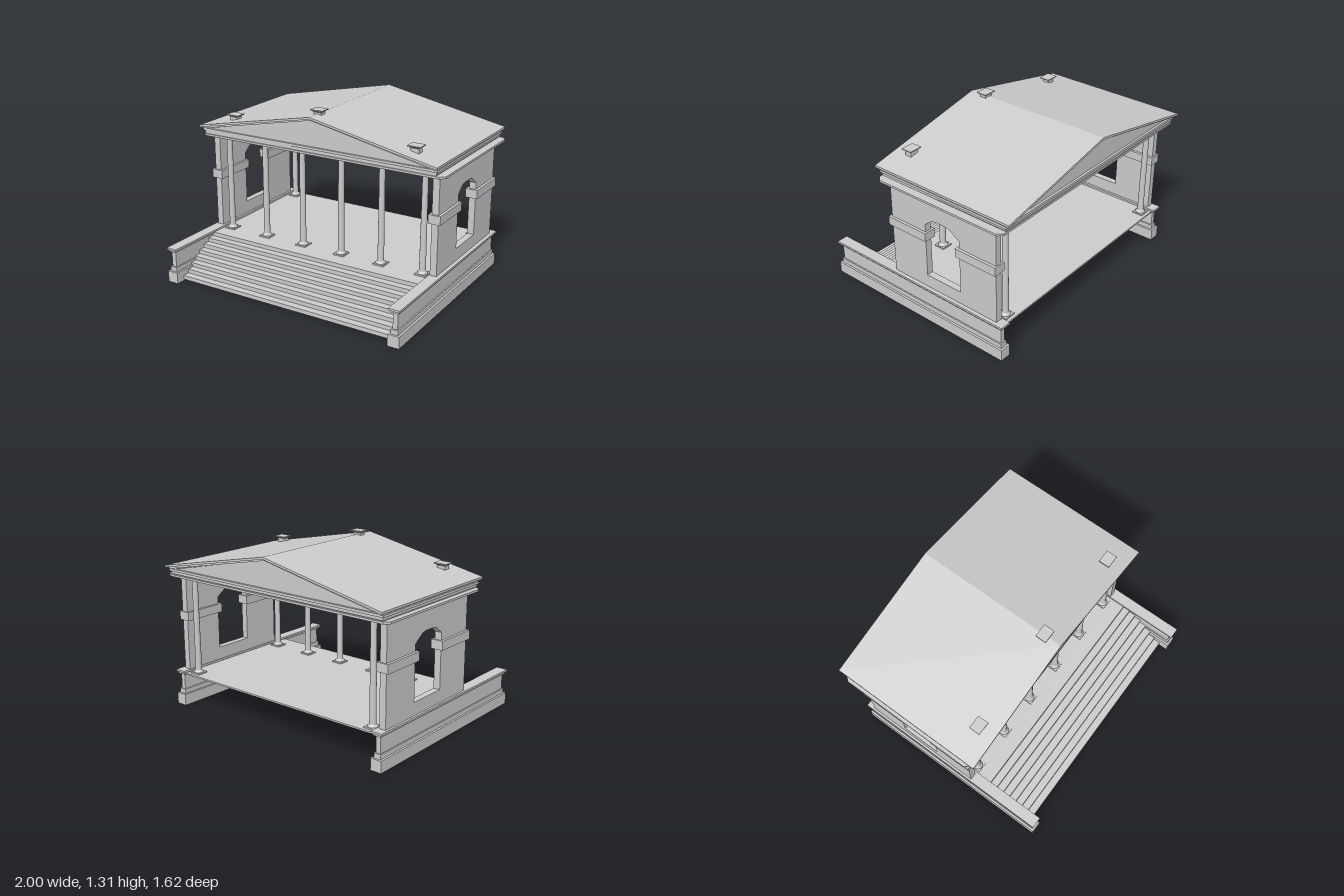
import * as THREE from 'three';

const mat = new THREE.MeshStandardMaterial({ color: 0xcccccc, flatShading: true });
const smooth = new THREE.MeshStandardMaterial({ color: 0xcccccc });

function add(parent, name, geo, m = mat) {
  const mesh = new THREE.Mesh(geo, m);
  mesh.name = name;
  parent.add(mesh);
  return mesh;
}

// Box given by its extents on each axis
function box(parent, name, x0, x1, y0, y1, z0, z1) {
  const mesh = add(parent, name, new THREE.BoxGeometry(x1 - x0, y1 - y0, z1 - z0));
  mesh.position.set((x0 + x1) / 2, (y0 + y1) / 2, (z0 + z1) / 2);
  return mesh;
}

const polygon = (pts) => new THREE.Shape(pts.map(([a, b]) => new THREE.Vector2(a, b)));

// Outline in (z, y), extruded from x0 to x1
function sideExtrude(shape, x0, x1) {
  const geo = new THREE.ExtrudeGeometry(shape, { depth: x1 - x0, bevelEnabled: false });
  return geo.rotateY(-Math.PI / 2).translate(x1, 0, 0);
}

// Outline in (x, y), extruded from z0 to z1
function frontExtrude(shape, z0, z1) {
  return new THREE.ExtrudeGeometry(shape, { depth: z1 - z0, bevelEnabled: false }).translate(0, 0, z0);
}

// Square block that tapers from bottom width to top width
function taper(wBottom, wTop, h) {
  const k = Math.SQRT1_2;
  return new THREE.CylinderGeometry(wTop * k, wBottom * k, h, 4).rotateY(Math.PI / 4);
}

function column(x, z) {
  const g = new THREE.Group();
  g.name = 'column';
  g.position.set(x, 0, z);
  box(g, 'columnPlinth', -0.042, 0.042, 0.25, 0.26, -0.042, 0.042);
  const profile = [
    [0.036, 0.26], [0.036, 0.267], [0.028, 0.274], [0.0235, 0.28],
    [0.022, 0.6], [0.021, 0.96], [0.026, 0.968], [0.034, 0.98],
  ].map(([r, y]) => new THREE.Vector2(r, y));
  add(g, 'columnShaft', new THREE.LatheGeometry(profile, 16), smooth);
  box(g, 'columnAbacus', -0.042, 0.042, 0.98, 0.99, -0.042, 0.042);
  return g;
}

// Low wall flanking the stairs and floor, stacked from plinth to coping
function baseWall(x) {
  const g = new THREE.Group();
  g.name = 'baseWall';
  g.position.x = x;
  [
    ['plinth', 0.0425, 0, 0.085, -0.755, 0.81],
    ['plinthMoulding', 0.027, 0.085, 0.12, -0.74, 0.795],
    ['dado', 0.018, 0.12, 0.24, -0.73, 0.785],
    ['copingMoulding', 0.032, 0.24, 0.255, -0.745, 0.8],
    ['coping', 0.0425, 0.255, 0.27, -0.755, 0.81],
  ].forEach(([name, w, y0, y1, z0, z1]) => box(g, name, -w, w, y0, y1, z0, z1));
  return g;
}

// Tall side wall with an arched opening and impost bands
function sideWall(x) {
  const g = new THREE.Group();
  g.name = 'sideWall';
  g.position.x = x;
  const shape = polygon([[-0.69, 0.27], [0.23, 0.27], [0.23, 0.99], [-0.69, 0.99]]);
  shape.holes.push(polygon([
    [-0.38, 0.365], [-0.38, 0.765], [-0.305, 0.818], [-0.27, 0.828],
    [-0.18, 0.828], [-0.14, 0.82], [-0.08, 0.77], [-0.08, 0.365],
  ]));
  add(g, 'archedWall', sideExtrude(shape, -0.025, 0.025));
  box(g, 'frontImpost', -0.045, 0.045, 0.65, 0.715, -0.095, 0.245);
  box(g, 'backImpost', -0.045, 0.045, 0.65, 0.715, -0.7, -0.36);
  return g;
}

// Roof block: pedestal with a flared cap
function roofPedestal(x, y) {
  const g = new THREE.Group();
  g.name = 'roofPedestal';
  g.position.set(x, y, 0.205);
  box(g, 'pedestalNeck', -0.032, 0.032, -0.055, 0.005, -0.026, 0.026);
  const flare = add(g, 'pedestalFlare', taper(0.064, 0.092, 0.012));
  flare.position.y = 0.008;
  flare.scale.z = 0.82;
  box(g, 'pedestalCap', -0.05, 0.05, 0.013, 0.02, -0.041, 0.041);
  return g;
}

export function createModel() {
  const model = new THREE.Group();
  model.name = 'templePavilion';

  // Stairs: eight steps in one solid profile
  const steps = [[0.3, 0.01]];
  for (let i = 0; i < 8; i++) {
    const z = 0.74 - i * 0.0545;
    steps.push([z, 0.01 + i * 0.03], [z, 0.01 + (i + 1) * 0.03]);
  }
  steps.push([0.3, 0.25]);
  add(model, 'stairs', sideExtrude(polygon(steps), -0.89, 0.905));
  box(model, 'floor', -0.89, 0.905, 0.238, 0.25, -0.73, 0.3);

  // Flanking walls
  for (const s of [-1, 1]) {
    model.add(baseWall(0.009 + s * 0.918));
    model.add(sideWall(0.003 + s * 0.913));
  }

  // Six columns across the front, one at each back corner
  for (let i = 0; i < 6; i++) model.add(column(0.003 - 0.818 + i * 0.3272, 0.2));
  for (const s of [-1, 1]) model.add(column(0.003 + s * 0.818, -0.665));

  // Entablature with a chamfered lowest band
  const c = 0.035, zb = -0.775, zf = 0.3;
  const band = polygon([
    [-1 + c, -zf], [1 - c, -zf], [1, -zf + c], [1, -zb - c],
    [1 - c, -zb], [-1 + c, -zb], [-1, -zb - c], [-1, -zf + c],
  ]);
  box(model, 'architrave', -0.965, 0.965, 0.985, 0.995, -0.75, 0.28);
  add(model, 'lowerCornice', frontExtrude(band, 0, 0.015).rotateX(-Math.PI / 2).translate(0, 0.993, 0));
  box(model, 'frieze', -0.96, 0.94, 1.005, 1.02, -0.765, 0.29);
  box(model, 'middleCornice', -0.965, 0.945, 1.015, 1.035, -0.775, 0.297);
  box(model, 'upperCornice', -0.975, 0.955, 1.035, 1.053, -0.782, 0.305);

  // Pediment, raking moulding and roof, sharing one ridge line
  const cx = -0.01;
  const gable = (half, eave, ridge) => [[cx - half, eave], [cx + half, eave], [cx, ridge]];
  const chevron = (half, eave, ridge, t) => polygon([
    [cx - half, eave - t], [cx, ridge - t], [cx + half, eave - t],
    [cx + half, eave], [cx, ridge], [cx - half, eave],
  ]);
  add(model, 'pediment', frontExtrude(polygon(gable(0.93, 1.05, 1.25)), -0.765, 0.29));
  add(model, 'rakingMoulding', frontExtrude(chevron(0.955, 1.067, 1.263, 0.014), -0.795, 0.32));
  add(model, 'roof', frontExtrude(chevron(0.975, 1.08, 1.277, 0.016), -0.813, 0.337));

  // Blocks on the roof
  model.add(roofPedestal(cx - 0.735, 1.148));
  model.add(roofPedestal(cx, 1.286));
  model.add(roofPedestal(cx + 0.76, 1.148));

  return model;
}
